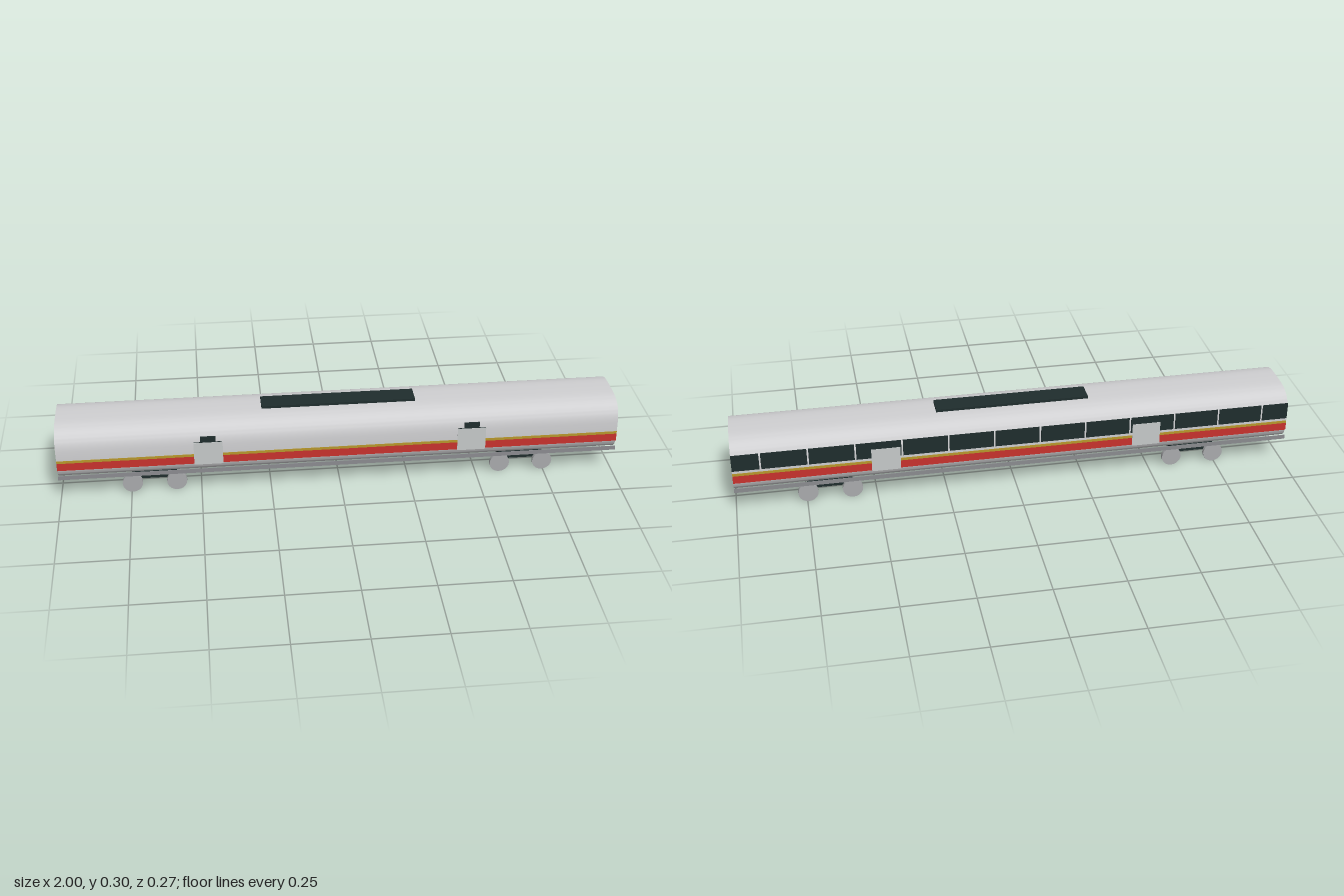
import * as THREE from 'three';
import { toCreasedNormals } from 'three/addons/utils/BufferGeometryUtils.js';

const mat = (name, color) => {
  const m = new THREE.MeshStandardMaterial({ color });
  m.name = name;
  return m;
};

export function createModel() {
  const silver = mat('silver', 0xd0d0d2);
  const dark = mat('dark glass', 0x1f2d2d);
  const red = mat('red', 0xc8322d);
  const yellow = mat('yellow', 0xb8982c);
  const steel = mat('steel', 0xa9abad);
  const trim = mat('trim grey', 0x8b8c90);
  const doorGrey = mat('door grey', 0xc6caca);

  const model = new THREE.Group();
  model.name = 'passengerCar';

  const add = (name, geometry, material, x, y, z) => {
    const mesh = new THREE.Mesh(geometry, material);
    mesh.name = name;
    mesh.position.set(x, y, z);
    model.add(mesh);
    return mesh;
  };
  // Box given by its x, y and z ranges
  const block = (name, material, [x0, x1], [y0, y1], [z0, z1]) =>
    add(name, new THREE.BoxGeometry(x1 - x0, y1 - y0, Math.abs(z1 - z0)), material,
      (x0 + x1) / 2, (y0 + y1) / 2, (z0 + z1) / 2);

  // Body: rounded superellipse section swept along the length
  const points = [];
  const power = 2 / 3.4;
  for (let i = 0; i < 72; i++) {
    const a = (i / 72) * Math.PI * 2;
    const c = Math.cos(a), s = Math.sin(a);
    points.push(new THREE.Vector2(
      0.132 * Math.sign(c) * Math.abs(c) ** power,
      0.102 * Math.sign(s) * Math.abs(s) ** power));
  }
  const section = new THREE.ExtrudeGeometry(new THREE.Shape(points), { depth: 2, bevelEnabled: false });
  section.translate(0, 0, -1).rotateY(Math.PI / 2);
  add('body', toCreasedNormals(section, 0.7), silver, 0, 0.184, 0);

  // Roof unit
  block('roofUnit', dark, [-0.275, 0.275], [0.288, 0.297], [-0.037, 0.037]);

  for (const side of [1, -1]) {
    const skin = [side * 0.1315, side * 0.133];
    // Painted stripes and the lower rail
    block('redStripe', red, [-1, 1], [0.134, 0.163], skin);
    block('yellowStripe', yellow, [-1, 1], [0.163, 0.173], skin);
    block('lowerRail', trim, [-1, 1], [0.096, 0.112], skin);

    // Doors with a dark surround and a small window above
    for (const x of [-0.47, 0.468]) {
      block('doorSurround', dark, [x - 0.05, x + 0.05], [0.132, 0.22], [side * 0.131, side * 0.1338]);
      block('door', doorGrey, [x - 0.051, x + 0.051], [0.131, 0.219], [side * 0.1338, side * 0.135]);
      block('doorWindow', dark, [x - 0.027, x + 0.027], [0.219, 0.24], [side * 0.126, side * 0.134]);
    }
  }

  // Window band along the back
  const pitch = 0.164, gap = 0.003;
  for (let i = -6; i <= 6; i++) {
    const x0 = Math.max(-1, (i - 0.5) * pitch + gap);
    const x1 = Math.min(1, (i + 0.5) * pitch - gap);
    block('window', dark, [x0, x1], [0.183, 0.246], [-0.1315, -0.133]);
  }

  // Bogies with four wheels each
  const wheelGeometry = new THREE.CylinderGeometry(0.036, 0.036, 0.013, 20).rotateX(Math.PI / 2);
  for (const x of [-0.666, 0.666]) {
    block('bogieFrame', dark, [x - 0.08, x + 0.08], [0.044, 0.071], [-0.067, 0.067]);
    for (const dx of [-0.079, 0.079])
      for (const z of [-0.0775, 0.0775]) add('wheel', wheelGeometry, steel, x + dx, 0.036, z);
  }

  return model;
}
